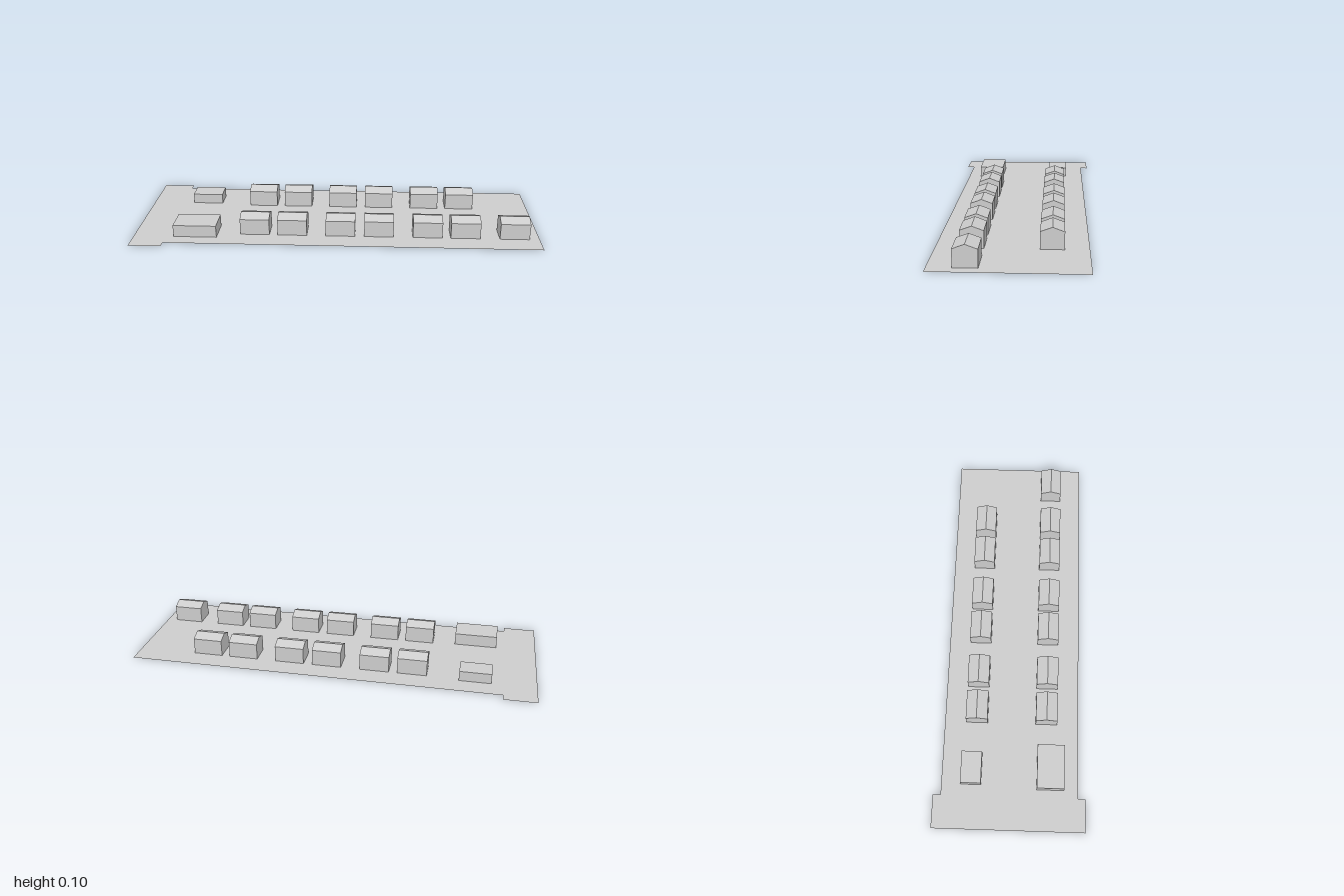
import * as THREE from 'three';

export function createModel() {
  const group = new THREE.Group();
  const grey = new THREE.MeshStandardMaterial({ color: 0xcccccc, flatShading: true });
  grey.name = 'plain grey';
  const groundGrey = grey.clone(); // same grey, seen from both sides
  groundGrey.name = 'ground grey';
  groundGrey.side = THREE.DoubleSide;

  const add = (name, geometry, material = grey) => {
    const mesh = new THREE.Mesh(geometry, material);
    mesh.name = name;
    group.add(mesh);
    return mesh;
  };
  const outline = (points) => new THREE.Shape(points.map(([x, y]) => new THREE.Vector2(x, y)));

  // Flat site with a wider strip at its right end
  const site = outline([
    [-1, -0.373], [-0.84, -0.373], [-0.84, -0.335], [1, -0.335],
    [1, 0.335], [-0.84, 0.335], [-0.84, 0.373], [-1, 0.373],
  ]);
  add('ground', new THREE.ShapeGeometry(site).rotateX(-Math.PI / 2), groundGrey);

  // Gabled house: pentagon in z and y, extruded along x
  const length = 0.145, half = 0.0535;
  const gable = outline([[-half, 0], [half, 0], [half, 0.08], [0, 0.1], [-half, 0.08]]);
  const houseGeometry = new THREE.ExtrudeGeometry(gable, { depth: length, bevelEnabled: false })
    .translate(0, 0, -length / 2).rotateY(Math.PI / 2);

  // Two rows of houses in pairs; the front row has one more at the end
  const centres = [-0.403, -0.217, 0.022, 0.212, 0.452, 0.638, 0.878];
  centres.forEach((x, i) => {
    add('frontHouse' + (i + 1), houseGeometry).position.set(x, 0, 0.1745);
    if (i < 6) add('backHouse' + (i + 1), houseGeometry).position.set(x, 0, -0.1735);
  });

  // Low flat-roofed buildings
  const block = (name, w, h, d, x, z) =>
    add(name, new THREE.BoxGeometry(w, h, d)).position.set(x, h / 2, z);
  block('frontFlatBuilding', 0.213, 0.06, 0.134, -0.695, 0.2);
  block('backFlatBuilding', 0.155, 0.05, 0.1, -0.708, -0.19);

  return group;
}
